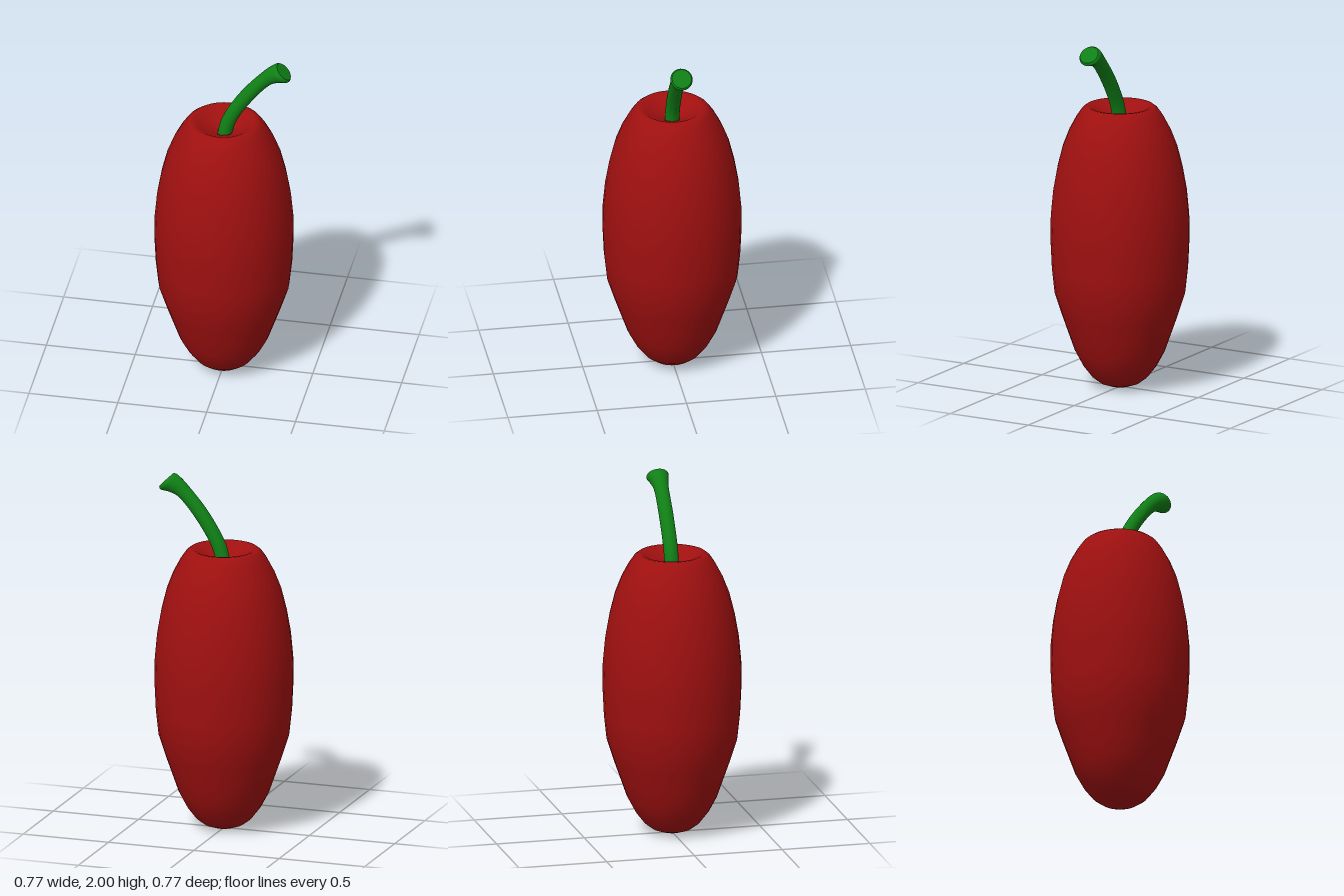
import * as THREE from 'three';
import { toCreasedNormals } from 'three/addons/utils/BufferGeometryUtils.js';

const paint = (color) => new THREE.MeshStandardMaterial({ color });

// Lathed fruit with a sunken crown around the stem
function makeBody() {
  const profile = [
    [0, 0], [0.06, 0.008], [0.11, 0.026], [0.155, 0.06], [0.205, 0.125], [0.25, 0.21],
    [0.285, 0.31], [0.32, 0.41], [0.362, 0.54], [0.377, 0.68], [0.385, 0.85],
    [0.383, 0.98], [0.37, 1.12], [0.347, 1.25], [0.317, 1.37], [0.28, 1.465],
    [0.24, 1.54], [0.21, 1.583], [0.188, 1.6], [0.165, 1.597], [0.14, 1.582],
    [0.1, 1.56], [0.06, 1.543], [0.035, 1.525], [0, 1.52],
  ].map(([r, y]) => new THREE.Vector2(r, y));
  const body = new THREE.Mesh(new THREE.LatheGeometry(profile, 32), paint(0xa01010));
  body.name = 'fruitBody';
  return body;
}

// Bent stem: a cylinder swept along a curve, flaring to a cut end
function makeStem() {
  // x, y, radius, heading in degrees
  const rows = [
    [0, 1.5, 0.04, 85], [0.028, 1.61, 0.04, 70], [0.125, 1.775, 0.04, 54],
    [0.243, 1.911, 0.042, 42], [0.29, 1.94, 0.053, 42],
    [0.328, 1.955, 0.062, 43], [0.337, 1.964, 0.054, 45],
  ];
  const path = new THREE.CatmullRomCurve3(rows.map(([x, y, r]) => new THREE.Vector3(x, y, r)));
  const heading = new THREE.SplineCurve(rows.map(([, , , a], i) => new THREE.Vector2(i, a)));
  const geometry = new THREE.CylinderGeometry(1, 1, 1, 24, 30);
  const pos = geometry.attributes.position;
  for (let i = 0; i < pos.count; i++) {
    const t = THREE.MathUtils.clamp(pos.getY(i) + 0.5, 0, 1);
    const c = path.getPoint(t);
    const a = THREE.MathUtils.degToRad(heading.getPoint(t).y);
    const across = pos.getX(i) * c.z;
    pos.setXYZ(i, c.x + across * Math.sin(a), c.y - across * Math.cos(a), pos.getZ(i) * c.z);
  }
  const stem = new THREE.Mesh(toCreasedNormals(geometry, 0.7), paint(0x108016));
  stem.name = 'stem';
  return stem;
}

export function createModel() {
  const model = new THREE.Group();
  model.name = 'pepper';
  model.add(makeBody(), makeStem());
  return model;
}
